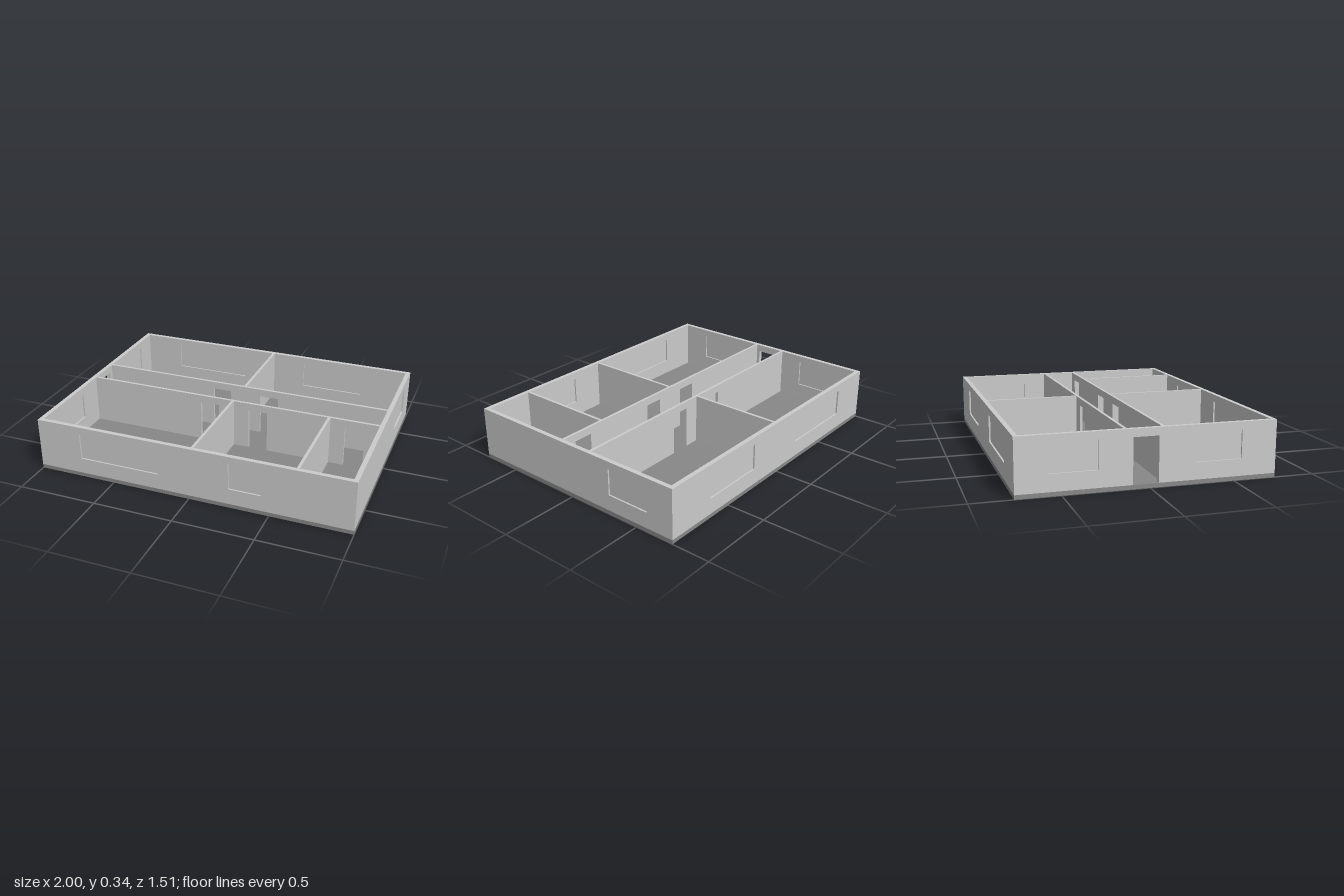
import * as THREE from 'three';

const FLOOR = 0.025, TOP = 0.34;        // slab top and wall top
const SILL = 0.125, HEAD = 0.293;       // window sill, shared head of windows and doors
const OUTER = 0.028, INNER = 0.018;     // wall thicknesses
const X = 1, Z = 0.757;                 // half extents of the house

const wallMaterial = new THREE.MeshStandardMaterial({ color: 0xcccccc });
const slabMaterial = new THREE.MeshStandardMaterial({ color: 0x888888 });

// A wall running from a to b along 'x' or 'z', centred at `at` on the other axis.
// Doors are notches in the lower edge; windows are holes with a thin recessed pane.
function makeWall(name, axis, a, b, at, thickness, { doors = [], windows = [] } = {}) {
  const group = new THREE.Group();
  group.name = name;

  const shape = new THREE.Shape();
  shape.moveTo(a, FLOOR);
  for (const [d0, d1] of doors) {
    shape.lineTo(d0, FLOOR);
    shape.lineTo(d0, HEAD);
    shape.lineTo(d1, HEAD);
    shape.lineTo(d1, FLOOR);
  }
  shape.lineTo(b, FLOOR);
  shape.lineTo(b, TOP);
  shape.lineTo(a, TOP);
  shape.closePath();

  for (const [w0, w1] of windows) {
    const hole = new THREE.Path();
    hole.moveTo(w0, SILL);
    hole.lineTo(w0, HEAD);
    hole.lineTo(w1, HEAD);
    hole.lineTo(w1, SILL);
    hole.closePath();
    shape.holes.push(hole);

    const pane = new THREE.Mesh(new THREE.BoxGeometry(w1 - w0, HEAD - SILL, 0.008), wallMaterial);
    pane.name = 'windowPane';
    pane.position.set((w0 + w1) / 2, (SILL + HEAD) / 2, 0);
    group.add(pane);
  }

  const geometry = new THREE.ExtrudeGeometry(shape, { depth: thickness, bevelEnabled: false });
  geometry.translate(0, 0, -thickness / 2);
  const body = new THREE.Mesh(geometry, wallMaterial);
  body.name = 'wallBody';
  group.add(body);

  if (axis === 'z') {
    group.rotation.y = -Math.PI / 2;
    group.position.x = at;
  } else {
    group.position.z = at;
  }
  return group;
}

export function createModel() {
  const house = new THREE.Group();
  house.name = 'floorPlanHouse';

  // Floor slab
  const slab = new THREE.Mesh(new THREE.BoxGeometry(2 * X, FLOOR, 2 * Z), slabMaterial);
  slab.name = 'floorSlab';
  slab.position.y = FLOOR / 2;
  house.add(slab);

  const xOut = X - OUTER / 2, zOut = Z - OUTER / 2;
  const xIn = X - OUTER, zIn = Z - OUTER;
  const corridorFront = 0.08, corridorBack = -0.139, half = INNER / 2;
  const bigWindow = [-0.715, -0.197], sideWindow = [-0.577, -0.297];
  const roomDoors = [[-0.2, -0.075], [0.13, 0.255]];

  // Outer walls
  house.add(
    makeWall('frontWall', 'x', -X, X, zOut, OUTER, { windows: [bigWindow, [0.25, 0.45]] }),
    makeWall('backWall', 'x', -X, X, -zOut, OUTER, { windows: [bigWindow, [0.25, 0.67]] }),
    makeWall('leftWall', 'z', -zIn, zIn, xOut, OUTER, { windows: [sideWindow] }),
    makeWall('rightWall', 'z', -zIn, zIn, -xOut, OUTER, {
      doors: [[-0.1, 0.05]],
      windows: [sideWindow, [0.265, 0.545]],
    }),
  );

  // Corridor walls
  house.add(
    makeWall('corridorFrontWall', 'x', -xIn, xIn, corridorFront, INNER, { doors: [...roomDoors, [0.76, 0.885]] }),
    makeWall('corridorBackWall', 'x', -xIn, xIn, corridorBack, INNER, { doors: roomDoors }),
  );

  // Partitions between rooms
  house.add(
    makeWall('backPartition', 'z', -zIn, corridorBack - half, 0.02, INNER),
    makeWall('frontPartition', 'z', corridorFront + half, zIn, 0.02, INNER),
    makeWall('smallRoomPartition', 'z', corridorFront + half, zIn, 0.657, INNER),
  );

  return house;
}
